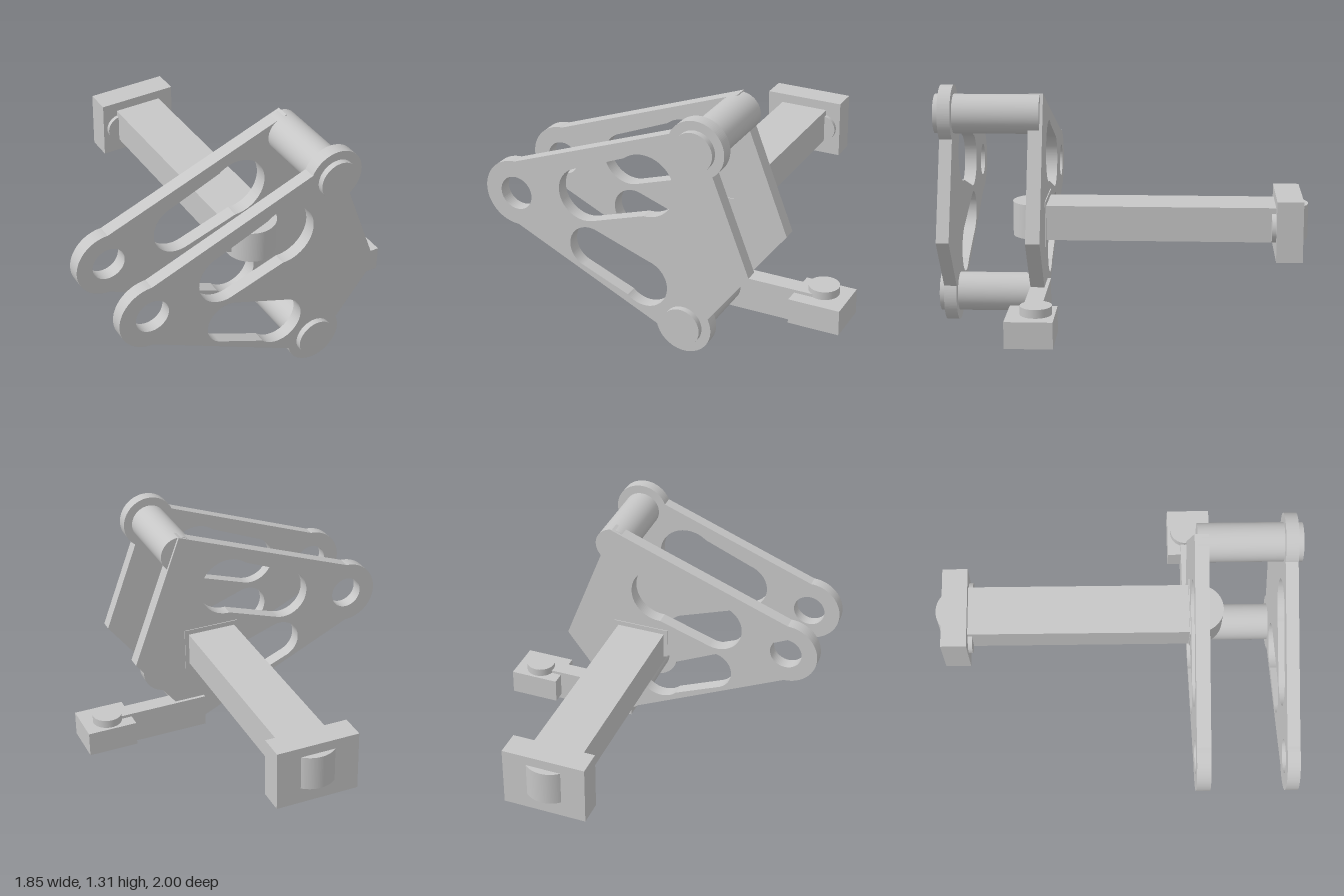
import * as THREE from 'three';

const rad = THREE.MathUtils.degToRad;

// Slot made of round ends, each [x, y, radius, startDeg, endDeg], run anticlockwise
function slot(...ends) {
  const path = new THREE.Path();
  for (const [x, y, r, a, b] of ends) path.absarc(x, y, r, rad(a), rad(b), false);
  path.closePath();
  return path;
}

function plateHoles() {
  return [
    slot([-0.745, 0.696, 0.092, 0, 360]),
    slot([-0.335, 0.775, 0.147, 107, 290], [0.015, 0.903, 0.17, 268, 490]),
    slot([-0.31, 0.472, 0.12, 71, 245], [0, 0.347, 0.135, 225, 437]),
  ];
}

export function createModel() {
  const group = new THREE.Group();
  const grey = new THREE.MeshStandardMaterial({ color: 0xc6c6c6 });
  grey.name = 'plain light grey';

  const add = (name, geometry, x = 0, y = 0, z = 0) => {
    const mesh = new THREE.Mesh(geometry, grey);
    mesh.name = name;
    mesh.position.set(x, y, z);
    group.add(mesh);
  };
  const box = (name, [x0, x1], [y0, y1], [z0, z1]) =>
    add(name, new THREE.BoxGeometry(x1 - x0, y1 - y0, z1 - z0),
      (x0 + x1) / 2, (y0 + y1) / 2, (z0 + z1) / 2);
  const extrude = (name, shape, z0, z1) =>
    add(name, new THREE.ExtrudeGeometry(shape, {
      depth: z1 - z0, bevelEnabled: false, curveSegments: 32,
    }), 0, 0, z0);

  // Front plate with round bosses at its three ends
  const front = new THREE.Shape();
  front.absarc(-0.745, 0.696, 0.182, rad(270), rad(90), true);
  front.absarc(0.305, 1.158, 0.154, rad(157), rad(-54), true);
  front.lineTo(0.591, 0.519);
  front.absarc(0.225, 0.155, 0.155, rad(26), rad(-168), true);
  front.closePath();
  front.holes = plateHoles();
  extrude('frontPlate', front, 0.90, 0.968);

  // Back plate with plain corners
  const back = new THREE.Shape();
  back.absarc(-0.745, 0.696, 0.182, rad(270), rad(90), true);
  back.lineTo(0.307, 1.268);
  back.lineTo(0.591, 0.519);
  back.lineTo(0.23, 0.053);
  back.closePath();
  back.holes = plateHoles();
  extrude('backPlate', back, 0.424, 0.5);

  // Pins joining the plates
  for (const [name, x, y] of [['upperPin', 0.305, 1.158], ['lowerPin', 0.225, 0.155]]) {
    const pin = new THREE.CylinderGeometry(0.105, 0.105, 0.56, 48);
    pin.rotateX(Math.PI / 2);
    add(name, pin, x, y, 0.72);
  }

  // Long beam with rounded ends, seen from above as a stadium
  const beam = new THREE.Shape();
  beam.absarc(0.125, 0.859, 0.141, 0, Math.PI, false);
  beam.absarc(0.125, -0.472, 0.141, Math.PI, 2 * Math.PI, false);
  beam.closePath();
  const beamGeometry = new THREE.ExtrudeGeometry(beam, {
    depth: 0.19, bevelEnabled: false, curveSegments: 32,
  });
  beamGeometry.rotateX(-Math.PI / 2);
  add('beam', beamGeometry, 0, 0.459, 0);

  // Collar where the beam crosses the back plate, trimmed by the lower slot
  const collar = new THREE.Shape();
  collar.moveTo(-0.04, 0.677);
  collar.lineTo(0.29, 0.677);
  collar.lineTo(0.29, 0.427);
  collar.absarc(0, 0.347, 0.135, rad(36), rad(77), false);
  collar.lineTo(-0.04, 0.502);
  collar.closePath();
  extrude('beamCollar', collar, 0.419, 0.505);

  // Block and rounded washer at the far end of the beam
  box('endBlock', [-0.105, 0.355], [0.371, 0.703], [-0.962, -0.82]);
  extrude('endWasher', new THREE.Shape(slot(
    [-0.002, 0.538, 0.08, 90, 270], [0.252, 0.538, 0.08, -90, 90],
  ).getPoints(24)), -0.822, -0.797);

  // Side arm with its block and button
  box('sideArm', [0.18, 0.81], [0.029, 0.219], [0.405, 0.502]);
  box('sideBlock', [0.64, 0.925], [0.06, 0.202], [0.328, 0.578]);
  add('sideButton', new THREE.CylinderGeometry(0.083, 0.083, 0.07, 40), 0.78, 0.213, 0.427);

  return group;
}
